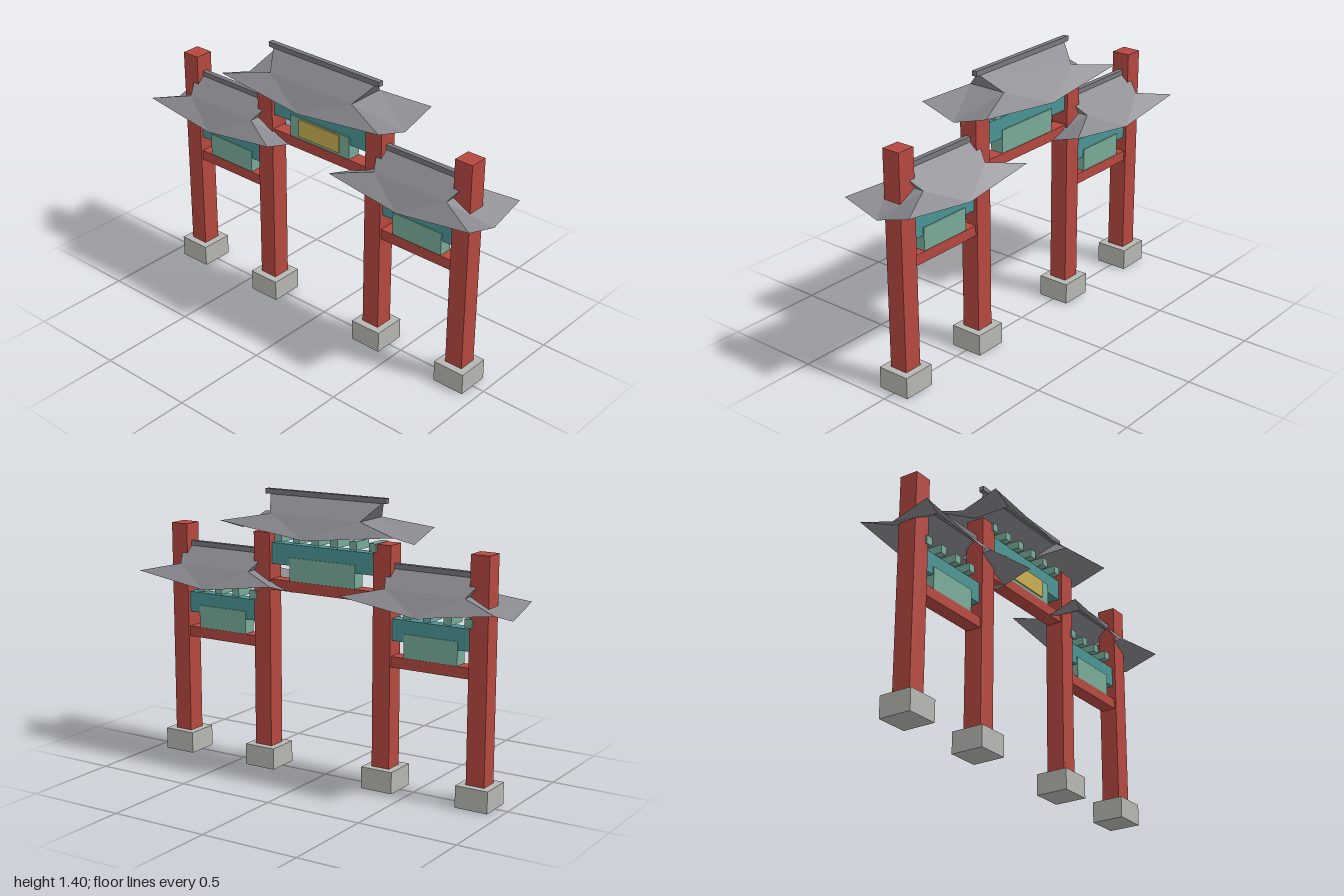
import * as THREE from 'three';

const mat = (name, color, extra = {}) => {
  const m = new THREE.MeshStandardMaterial({ color, flatShading: true, ...extra });
  m.name = name;
  return m;
};

export function createModel() {
  const red = mat('red paint', 0xb5483f);
  const stone = mat('pale stone', 0xb6b6b2);
  const teal = mat('teal paint', 0x4a9494);
  const jade = mat('jade paint', 0x78ab98);
  const gold = mat('gold plaque', 0xc9ae50);
  const tile = mat('grey roof tile', 0x88888e, { side: THREE.DoubleSide });
  const ridgeGrey = mat('ridge grey', 0x78787e);

  const model = new THREE.Group();
  model.name = 'gateway';

  // Box given by its centre x, bottom and top y, width, depth and centre z
  function box(parent, name, material, x, y0, y1, w, d, z = 0) {
    const mesh = new THREE.Mesh(new THREE.BoxGeometry(w, y1 - y0, d), material);
    mesh.position.set(x, (y0 + y1) / 2, z);
    mesh.name = name;
    parent.add(mesh);
  }

  // Hip-and-gable roof shell: sagging eaves, upturned corners, overhanging ridge
  function roof(eaveHalf, y) {
    const ridgeX = eaveHalf * 0.66, midX = eaveHalf * 0.52;
    const midZ = 0.1, eaveZ = 0.19;
    const low = y, tip = y + 0.058, mid = y + 0.1, top = y + 0.187;
    const ridgeL = [-ridgeX, top, 0], ridgeR = [ridgeX, top, 0];
    const midL = [-midX, mid, midZ], midR = [midX, mid, midZ], midB = [midX, mid, -midZ];
    const cornerL = [-eaveHalf, tip, eaveZ], cornerR = [eaveHalf, tip, eaveZ];
    const cornerB = [eaveHalf, tip, -eaveZ];
    const eaveFront = [0, low, eaveZ], eaveEnd = [eaveHalf, low, 0];
    const half = [
      // Main slope
      ridgeL, midL, midR, ridgeL, midR, ridgeR,
      midL, cornerL, eaveFront, midL, eaveFront, midR, midR, eaveFront, cornerR,
      // Gable and end slope
      ridgeR, midR, midB,
      midR, cornerR, eaveEnd, midR, eaveEnd, midB, midB, eaveEnd, cornerB,
    ];
    // The other half is the same turned by 180 degrees
    const all = half.concat(half.map(([px, py, pz]) => [-px, py, -pz]));
    const geo = new THREE.BufferGeometry();
    geo.setAttribute('position', new THREE.Float32BufferAttribute(all.flat(), 3));
    geo.computeVertexNormals();
    const mesh = new THREE.Mesh(geo, tile);
    mesh.name = 'roof';
    return mesh;
  }

  // One bay between two pillars: tie beam, panel, lintel, brackets, roof and ridge
  function bay(name, x, y, span, panelW, eaveHalf, brackets, firstBracket) {
    const g = new THREE.Group();
    g.name = name;
    g.position.x = x;
    box(g, 'tieBeam', red, 0, y - 0.288, y - 0.235, span, 0.075);
    box(g, 'lintel', teal, 0, y - 0.16, y - 0.055, span, 0.06);
    box(g, 'panel', jade, 0, y - 0.24, y - 0.12, panelW, 0.07);
    for (let i = 0; i < brackets; i++) {
      box(g, 'bracket', jade, firstBracket + i * 0.107, y - 0.044, y - 0.003, 0.04, 0.11);
    }
    g.add(roof(eaveHalf, y));
    box(g, 'ridge', ridgeGrey, 0, y + 0.18, y + 0.205, eaveHalf * 1.4, 0.026);
    model.add(g);
    return g;
  }

  const centre = bay('centreBay', 0, 1.197, 0.6, 0.372, 0.487, 6, -0.295);
  box(centre, 'plaque', gold, 0, 0.978, 1.07, 0.252, 0.009, 0.038);
  for (const side of [-1, 1]) {
    bay(side > 0 ? 'leftBay' : 'rightBay', side * 0.598, 0.898, 0.42, 0.284, 0.402, 4, -0.205);
  }

  // Four pillars on stone bases
  for (const x of [-0.852, -0.342, 0.342, 0.852]) {
    box(model, 'pillar', red, x, 0.05, 1.192, 0.095, 0.095);
    box(model, 'pillarBase', stone, x, 0, 0.108, 0.168, 0.168);
  }
  return model;
}
